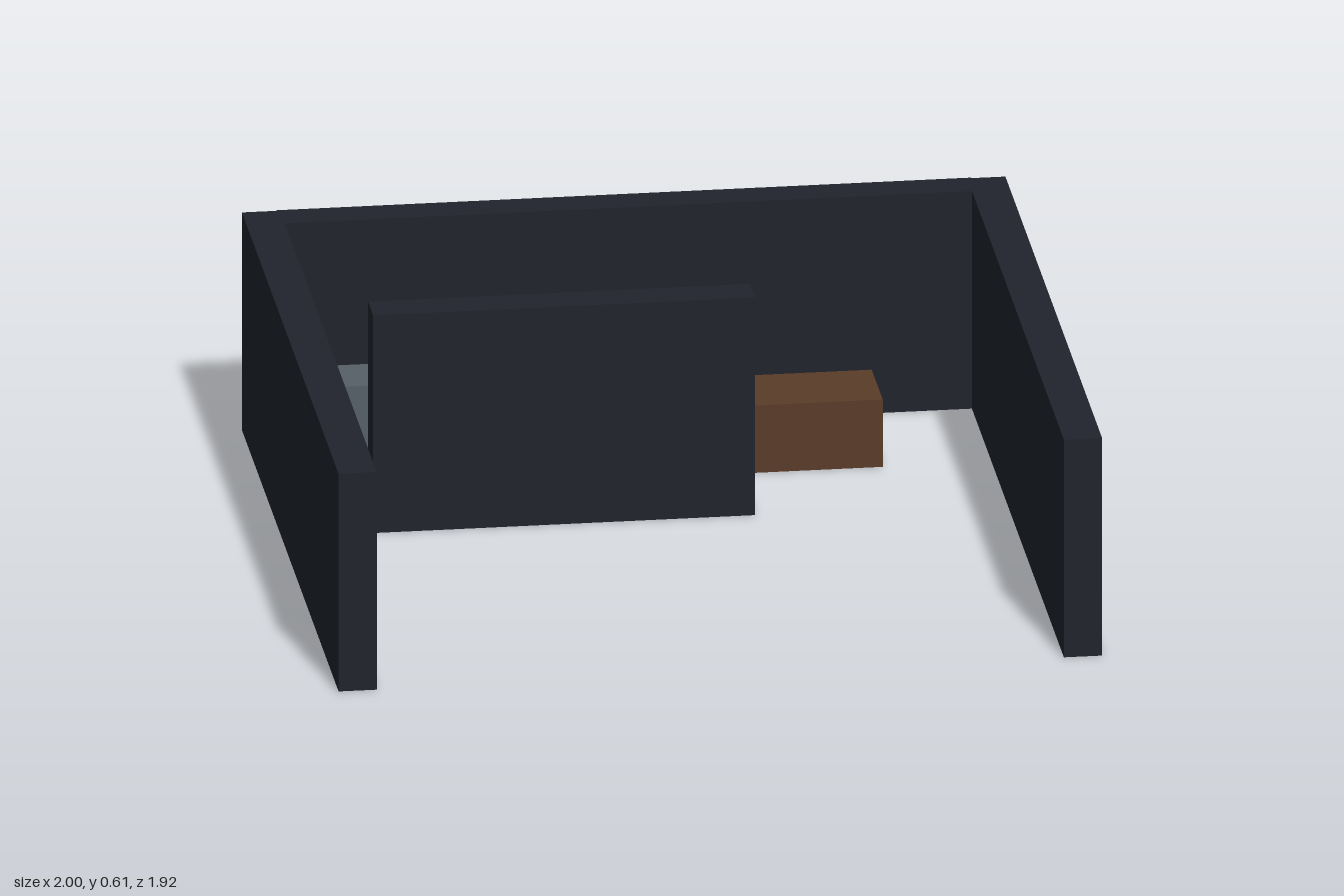
import * as THREE from 'three';

const wallMat = new THREE.MeshStandardMaterial({ color: 0x20242c });
const woodMat = new THREE.MeshStandardMaterial({ color: 0x5a3c28 });
const metalMat = new THREE.MeshStandardMaterial({ color: 0x566068 });

// Box standing on the ground, given by its x and z extents and height
function block(name, x0, x1, z0, z1, height, material) {
  const mesh = new THREE.Mesh(new THREE.BoxGeometry(x1 - x0, height, z1 - z0), material);
  mesh.position.set((x0 + x1) / 2, height / 2, (z0 + z1) / 2);
  mesh.name = name;
  return mesh;
}

export function createModel() {
  const model = new THREE.Group();
  model.name = 'openRoom';
  const wallHeight = 0.605;

  // Outer walls, open at the front
  model.add(
    block('leftWall', 0.9, 1, -0.958, 0.962, wallHeight, wallMat),
    block('rightWall', -1, -0.9, -0.958, 0.962, wallHeight, wallMat),
    block('backWall', -0.91, 0.91, -0.962, -0.865, wallHeight, wallMat)
  );

  // Free-standing partition
  model.add(block('partition', -0.76, 0.24, -0.27, -0.17, wallHeight, wallMat));

  // Furniture behind the partition
  model.add(
    block('desk', 0.18, 0.615, -0.695, -0.475, 0.187, woodMat),
    block('cabinet', -0.813, -0.545, -0.627, -0.47, 0.295, metalMat)
  );
  return model;
}
